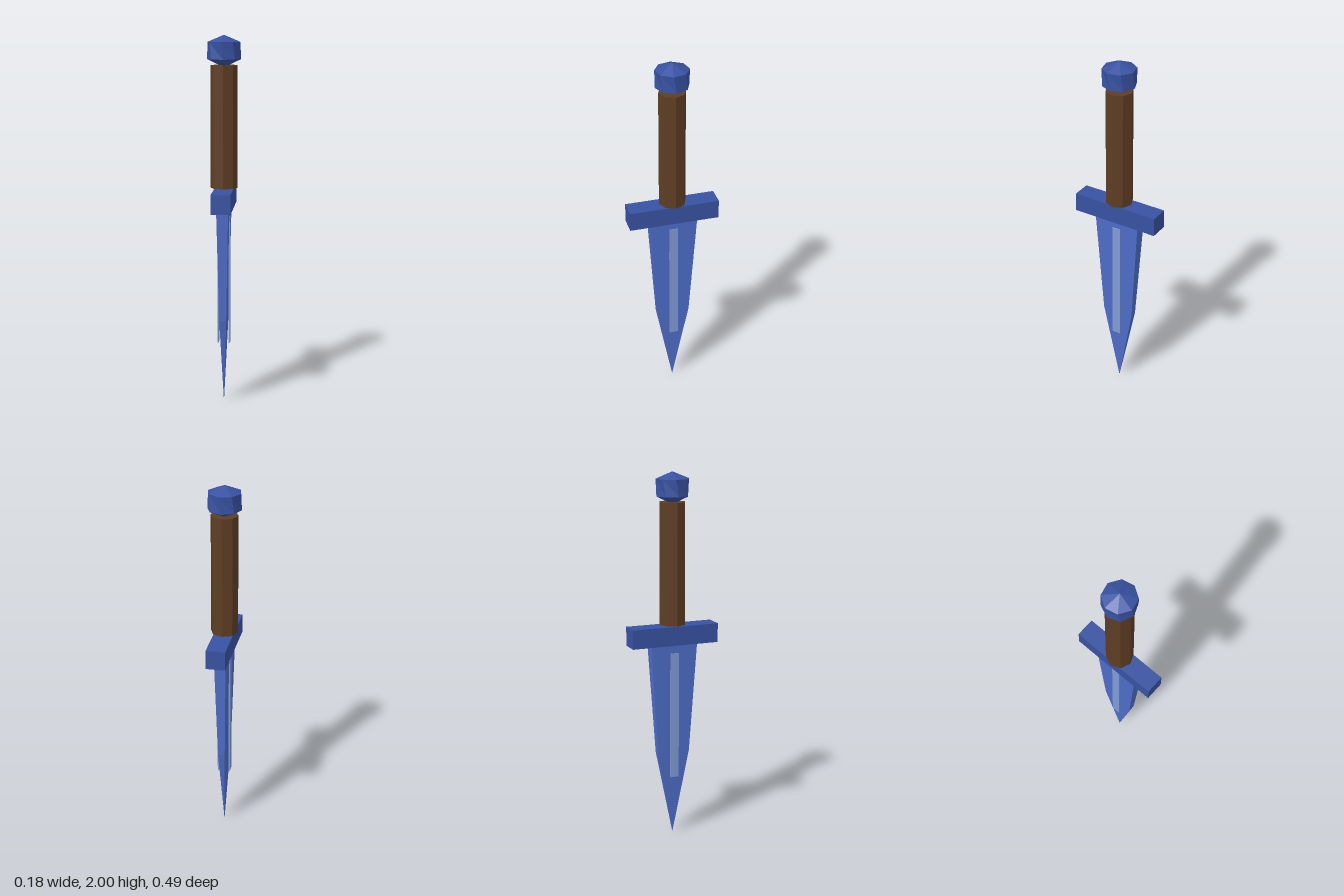
import * as THREE from 'three';

const mat = (name, color) => Object.assign(new THREE.MeshStandardMaterial({ color, flatShading: true }), { name });

export function createModel() {
  const model = new THREE.Group();
  model.name = 'dagger';
  const steel = mat('bladeBlue', 0x4e6dc8);
  const paleSteel = mat('fullerPaleBlue', 0x809ad6);
  const darkSteel = mat('fittingBlue', 0x3852a2);
  const wood = mat('gripBrown', 0x5e3e23);

  const add = (name, geometry, material, x = 0, y = 0, z = 0) => {
    const mesh = new THREE.Mesh(geometry, material);
    mesh.name = name;
    mesh.position.set(x, y, z);
    model.add(mesh);
    return mesh;
  };

  // Blade: box whose rows taper towards a point
  const rows = [[1.08, 0.032, 0.132], [0.47, 0.019, 0.091], [0, 0.0005, 0.0005]]; // y, half x, half z
  const blade = new THREE.BoxGeometry(2, 2, 2, 1, 2, 1);
  const p = blade.attributes.position;
  for (let i = 0; i < p.count; i++) {
    const [y, hx, hz] = rows[Math.round(1 - p.getY(i))];
    p.setXYZ(i, Math.sign(p.getX(i)) * hx, y, Math.sign(p.getZ(i)) * hz);
  }
  blade.computeVertexNormals();
  add('blade', blade, steel);

  // Pale strip on each broad side of the blade
  for (const side of [1, -1]) {
    add(side > 0 ? 'leftFuller' : 'rightFuller', new THREE.BoxGeometry(0.007, 0.7, 0.048), paleSteel, side * 0.031, 0.68, 0);
  }

  // Crossguard and octagonal grip
  add('crossguard', new THREE.BoxGeometry(0.104, 0.104, 0.49), darkSteel, 0, 1.128, 0);
  add('grip', new THREE.CylinderGeometry(0.073, 0.073, 0.655, 8), wood, 0, 1.5135, 0);

  // Faceted pommel with its lower ring slightly twisted
  const profile = [[0, 1.83], [0.09, 1.872], [0.09, 1.963], [0, 2]].map(([r, y]) => new THREE.Vector2(r, y));
  const pommel = new THREE.LatheGeometry(profile, 8);
  const q = pommel.attributes.position;
  for (let i = 0; i < q.count; i++) {
    const twist = q.getY(i) < 1.9 ? 0.17 : 0;
    const x = q.getX(i), z = q.getZ(i), c = Math.cos(twist), s = Math.sin(twist);
    q.setXYZ(i, x * c + z * s, q.getY(i), z * c - x * s);
  }
  pommel.computeVertexNormals();
  add('pommel', pommel, darkSteel).rotation.y = -0.17;

  return model;
}
